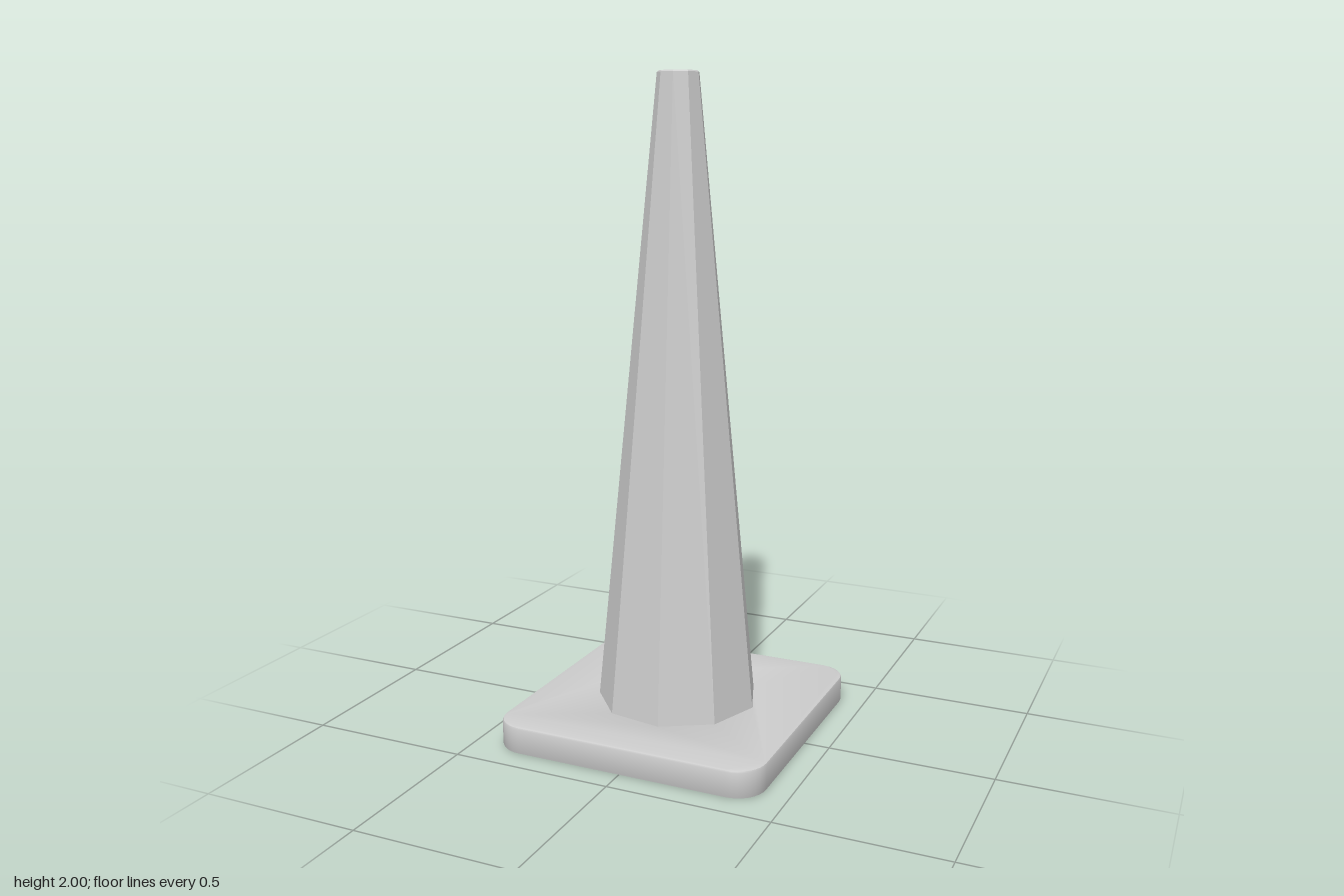
import * as THREE from 'three';
import { toCreasedNormals } from 'three/addons/utils/BufferGeometryUtils.js';

const SIDES = 9, CONE_R = 0.25, TOP_R = 0.063;
const HALF = 0.425, CORNER = 0.09, BASE_H = 0.085, BEVEL = 0.007;

// Square with rounded corners and a nine-sided hole under the cone
function baseShape() {
  const shape = new THREE.Shape();
  const c = HALF - CORNER;
  [[c, c], [-c, c], [-c, -c], [c, -c]].forEach(([x, y], i) =>
    shape.absarc(x, y, CORNER, i * Math.PI / 2, (i + 1) * Math.PI / 2, false));
  shape.closePath();
  const r = CONE_R - BEVEL / Math.cos(Math.PI / SIDES);
  const hole = [];
  for (let i = 0; i < SIDES; i++) {
    const a = -i / SIDES * Math.PI * 2;
    hole.push(new THREE.Vector2(r * Math.cos(a), r * Math.sin(a)));
  }
  shape.holes.push(new THREE.Path(hole));
  return shape;
}

export function createModel() {
  const group = new THREE.Group();
  group.name = 'trafficCone';

  // Base plate with softened edges
  const plate = new THREE.ExtrudeGeometry(baseShape(), {
    depth: BASE_H - 2 * BEVEL, curveSegments: 4,
    bevelEnabled: true, bevelSize: BEVEL, bevelOffset: -BEVEL,
    bevelThickness: BEVEL, bevelSegments: 2,
  });
  plate.rotateX(-Math.PI / 2);
  plate.translate(0, BEVEL, 0);
  const base = new THREE.Mesh(toCreasedNormals(plate, 0.75),
    new THREE.MeshStandardMaterial({ color: 0xcccccc }));
  base.name = 'base';
  group.add(base);

  // Hollow faceted cone, closed at the top and open below
  const profile = [[CONE_R, BASE_H], [TOP_R, 1.996], [TOP_R - 0.004, 2], [0, 2]]
    .map(([r, y]) => new THREE.Vector2(r, y));
  const cone = new THREE.Mesh(new THREE.LatheGeometry(profile, SIDES, Math.PI / 2),
    new THREE.MeshStandardMaterial({ color: 0xcccccc, flatShading: true, side: THREE.DoubleSide }));
  cone.name = 'cone';
  group.add(cone);

  return group;
}
